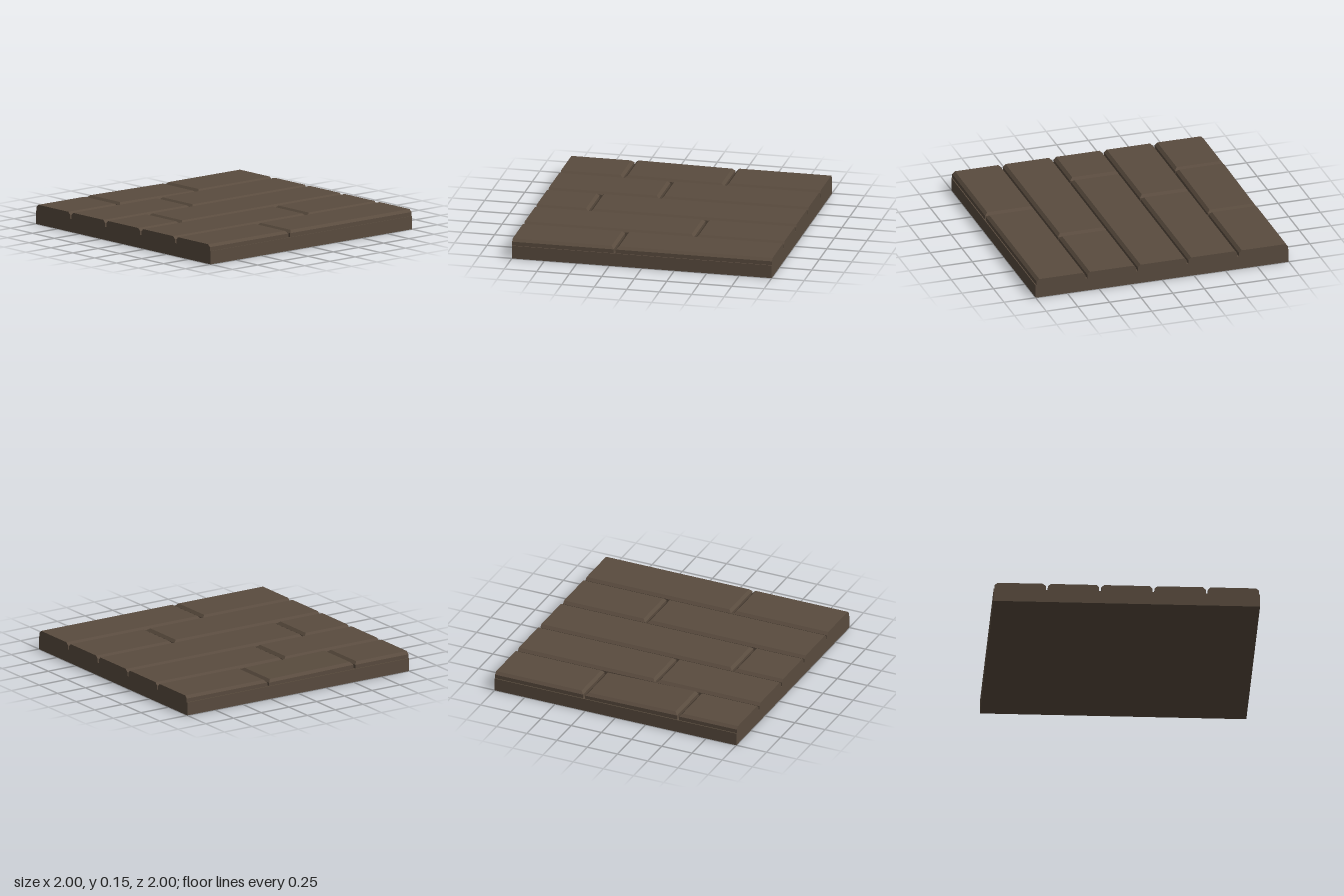
import * as THREE from 'three';

const BASE_TOP = 0.1, SHOULDER = 0.13, TOP = 0.15;
const BEVEL = 0.021, HALF_GAP = 0.0078, ROW_DEPTH = 0.4;

// Joint positions along x for each row, from back to front
const ROWS = [[-0.513, 0.265], [-0.142], [-0.593], [0.313], [-0.211]];

// Plank with chamfered top edges; ends on the tile's border stay square.
// Built around x = z = 0 from three stacked rectangles.
function plankGeometry(length, depth, bottom, bevelLeft, bevelRight) {
  const ring = (y, inset) => {
    const x0 = -length / 2 + (bevelLeft ? inset : 0);
    const x1 = length / 2 - (bevelRight ? inset : 0);
    const z = depth / 2 - inset;
    return [[x0, y, z], [x1, y, z], [x1, y, -z], [x0, y, -z]];
  };
  const rings = [ring(bottom, 0), ring(SHOULDER, 0), ring(TOP, BEVEL)];
  const points = [];
  const quad = (a, b, c, d) => points.push(...a, ...b, ...c, ...a, ...c, ...d);
  for (let r = 0; r < 2; r++) {
    for (let i = 0; i < 4; i++) {
      const j = (i + 1) % 4;
      quad(rings[r][i], rings[r][j], rings[r + 1][j], rings[r + 1][i]);
    }
  }
  quad(...rings[2]);
  quad(...rings[0].slice().reverse());
  const geometry = new THREE.BufferGeometry();
  geometry.setAttribute('position', new THREE.Float32BufferAttribute(points, 3));
  geometry.computeVertexNormals();
  return geometry;
}

export function createModel() {
  const group = new THREE.Group();
  group.name = 'plankFloorTile';
  const wood = new THREE.MeshStandardMaterial({ color: 0x594b3e });
  wood.name = 'dark brown wood';

  // Slab under the planks, visible in the grooves
  const base = new THREE.Mesh(new THREE.BoxGeometry(2, BASE_TOP, 2), wood);
  base.name = 'baseSlab';
  base.position.y = BASE_TOP / 2;
  group.add(base);

  // Five rows of planks with staggered joints
  ROWS.forEach((joints, row) => {
    const ends = [-1, ...joints, 1];
    for (let i = 0; i < ends.length - 1; i++) {
      const first = i === 0, last = i === ends.length - 2;
      const x0 = ends[i] + (first ? 0 : HALF_GAP);
      const x1 = ends[i + 1] - (last ? 0 : HALF_GAP);
      const loose = row === 0 && i === 1;
      const plank = new THREE.Mesh(
        plankGeometry(x1 - x0, ROW_DEPTH - 2 * HALF_GAP, loose ? 0.09 : BASE_TOP, !first, !last), wood);
      plank.name = `plankRow${row + 1}Number${i + 1}`;
      plank.position.set((x0 + x1) / 2, 0, -0.8 + row * ROW_DEPTH);
      // One loose board tips slightly, its right-hand end raised
      if (loose) {
        plank.rotation.z = -0.012;
        plank.position.x -= 0.0018;
      }
      group.add(plank);
    }
  });
  return group;
}
